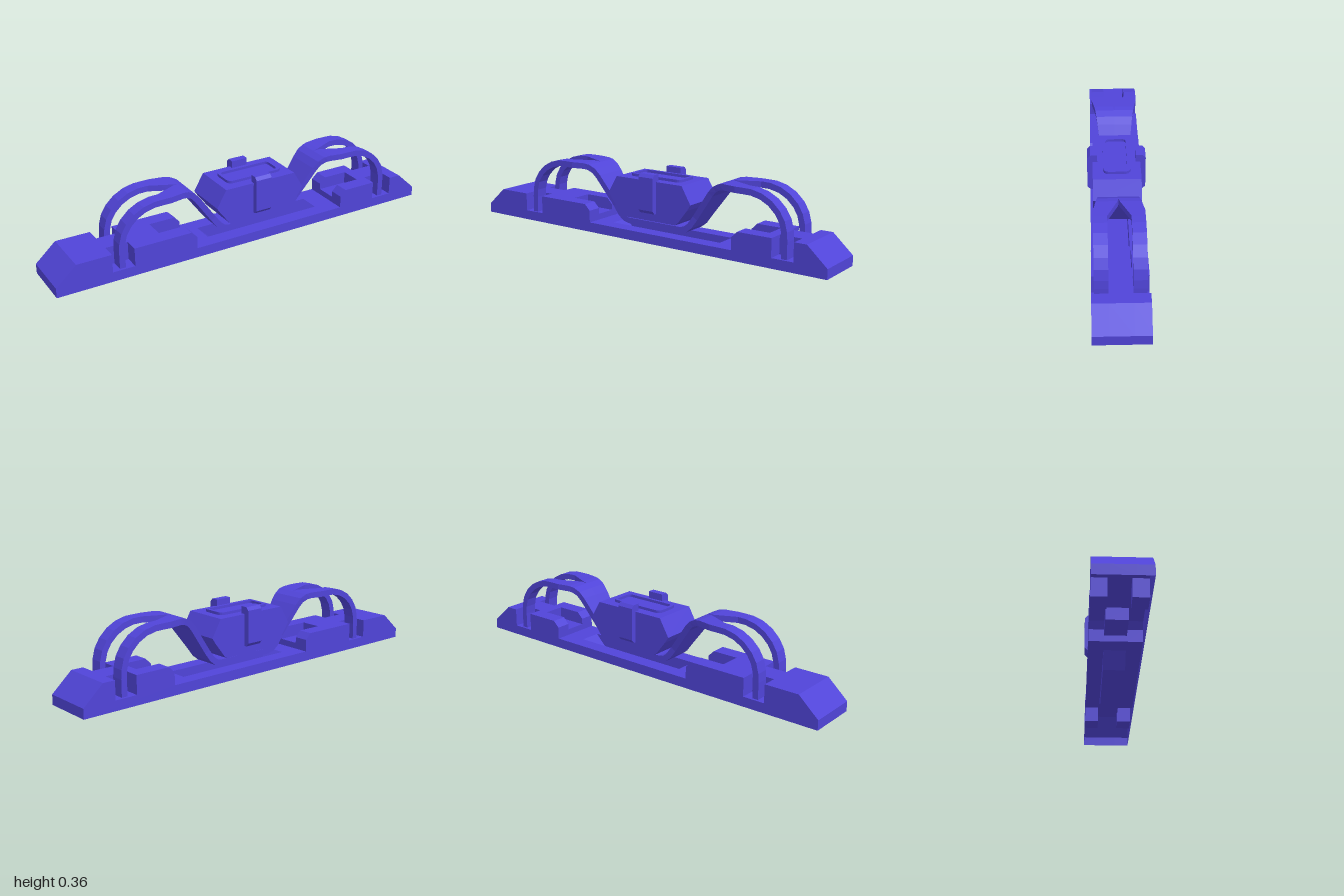
import * as THREE from 'three';

const COLOR = 0x5044d8;
const solid = new THREE.MeshStandardMaterial({ color: COLOR, flatShading: true });
const thin = new THREE.MeshStandardMaterial({ color: COLOR, flatShading: true, side: THREE.DoubleSide });
const C = 0.055; // centre line of spring and pod
const W = 0.125; // half width of the base
const S = 0.052; // half width of the centre band

function add(parent, name, geometry, material = solid) {
  const mesh = new THREE.Mesh(geometry, material);
  mesh.name = name;
  parent.add(mesh);
  return mesh;
}

const shapeOf = (pts) => new THREE.Shape(pts.map(([x, y]) => new THREE.Vector2(x, y)));

// Prism of an xy outline between z0 and z1
function prism(shape, z0, z1) {
  const g = new THREE.ExtrudeGeometry(shape, { depth: z1 - z0, bevelEnabled: false, curveSegments: 5 });
  return g.translate(0, 0, z0);
}

// Thin sheet following an xy polyline between z0 and z1
function sheet(pts, z0, z1) {
  const pos = [];
  for (let i = 0; i < pts.length - 1; i++) {
    const [a, b] = [pts[i], pts[i + 1]];
    pos.push(...a, z1, ...b, z1, ...b, z0, ...a, z1, ...b, z0, ...a, z0);
  }
  const g = new THREE.BufferGeometry();
  g.setAttribute('position', new THREE.Float32BufferAttribute(pos, 3));
  g.computeVertexNormals();
  return g;
}

function buildBase() {
  const base = new THREE.Group();
  base.name = 'base';
  const notches = [[-0.73, -0.62], [0.73, 0.84]];
  const recesses = [[-0.46, -0.3], [0.525, 0.68]];
  const floor = 0.1;
  const dish = [[-0.205, 0.07], [-0.16, 0.025], [-0.135, 0], [0.35, 0], [0.375, 0.025], [0.42, 0.07]];
  const notch = ([a, b]) => [[a, 0.16], [a, 0.07], [b, 0.07], [b, 0.16]];
  const leftEnd = [[-1, 0.022], [-1, 0.07], [-0.9, 0.16]];
  const rightEnd = [[0.9, 0.16], [1, 0.07], [1, 0.022]];

  // Side bands carry the foot notches, the middle band the recesses and dish
  const sideProfile = [
    ...leftEnd, ...notch(notches[0]),
    [-0.33, 0.16], [-0.3, 0.13], [-0.3, 0.07], [0.525, 0.07], [0.525, 0.13], [0.555, 0.16],
    ...notch(notches[1]), ...rightEnd,
  ];
  const middleProfile = [
    ...leftEnd, [-0.46, 0.16], [-0.46, floor], [-0.3, floor], [-0.3, 0.07],
    ...dish, [0.525, 0.07], [0.525, floor], [0.68, floor], [0.68, 0.16], ...rightEnd,
  ];
  add(base, 'middleSkin', sheet(middleProfile, -S, S), thin);
  for (const s of [-1, 1]) {
    add(base, 'sideSkin', sheet(sideProfile, Math.min(s * S, s * W), Math.max(s * S, s * W)), thin);
    const wall = (name, pts, z) =>
      add(base, name, new THREE.ShapeGeometry(shapeOf(pts)).translate(0, 0, s * z), thin);
    wall('sideWall', sideProfile, W);
    notches.forEach((n) => wall('notchWall', notch(n), S));
    recesses.forEach(([a, b], i) => wall('recessWall', i
      ? [[a, floor], [b, floor], [b, 0.16], [a + 0.03, 0.16], [a, 0.13]]
      : [[a, floor], [b, floor], [b, 0.13], [b - 0.03, 0.16], [a, 0.16]], S));
    wall('dishWall', dish, S);
  }
  return base;
}

// Linear interpolation with clamped ends
const ramp = (x, x0, x1, y0, y1) => y0 + (y1 - y0) * Math.min(1, Math.max(0, (x - x0) / (x1 - x0)));

// Bent spring strip whose ends split into two tines
function buildSpring() {
  const spring = new THREE.Group();
  spring.name = 'spring';
  const half = [
    [0.15, 0.1], [0.18, 0.107], [0.205, 0.127], [0.235, 0.168], [0.33, 0.3], [0.355, 0.327],
    [0.385, 0.342], [0.41, 0.346], [0.475, 0.346], [0.515, 0.346], [0.56, 0.345], [0.61, 0.333],
    [0.655, 0.309], [0.692, 0.274], [0.716, 0.235], [0.728, 0.19], [0.731, 0.15], [0.731, 0.07],
  ];
  const path = [...half.map(([x, y]) => [-x, y]).reverse(), ...half];
  const t = 0.0145; // half thickness
  for (const s of [-1, 1]) {
    const rings = path.map(([x, y], i) => {
      const p = path[Math.max(0, i - 1)];
      const n = path[Math.min(path.length - 1, i + 1)];
      const len = Math.hypot(n[0] - p[0], n[1] - p[1]);
      const nx = -(n[1] - p[1]) / len * t;
      const ny = (n[0] - p[0]) / len * t;
      const d = Math.abs(x);
      const inner = s * ramp(d, 0.4, 0.515, 0, S);
      const outer = s * ramp(d, 0.235, 0.475, 0.067, 0.113);
      const [z0, z1] = [Math.min(inner, outer), Math.max(inner, outer)];
      return [
        [x + C + nx, y + ny, z0], [x + C + nx, y + ny, z1],
        [x + C - nx, y - ny, z1], [x + C - nx, y - ny, z0],
      ];
    });
    const pos = [];
    const quad = (a, b, c, d) => pos.push(...a, ...b, ...c, ...a, ...c, ...d);
    for (let i = 0; i < rings.length - 1; i++) {
      for (let k = 0; k < 4; k++) {
        const m = (k + 1) % 4;
        quad(rings[i][k], rings[i][m], rings[i + 1][m], rings[i + 1][k]);
      }
    }
    quad(...[...rings[0]].reverse());
    quad(...rings[rings.length - 1]);
    const g = new THREE.BufferGeometry();
    g.setAttribute('position', new THREE.Float32BufferAttribute(pos, 3));
    g.computeVertexNormals();
    add(spring, s > 0 ? 'frontTines' : 'backTines', g, thin);
  }
  return spring;
}

function roundedRect(shape, w, h, r) {
  shape.moveTo(-w + r, -h).lineTo(w - r, -h).quadraticCurveTo(w, -h, w, -h + r)
    .lineTo(w, h - r).quadraticCurveTo(w, h, w - r, h)
    .lineTo(-w + r, h).quadraticCurveTo(-w, h, -w, h - r)
    .lineTo(-w, -h + r).quadraticCurveTo(-w, -h, -w + r, -h);
  return shape;
}

function buildPod() {
  const pod = new THREE.Group();
  pod.name = 'pod';
  const outline = [[-0.185, 0.24], [-0.165, 0.21], [-0.115, 0.145], [-0.1, 0.132], [0.21, 0.132],
    [0.225, 0.145], [0.275, 0.21], [0.295, 0.24], [0.245, 0.325], [-0.135, 0.325]];
  add(pod, 'podBody', prism(shapeOf(outline), -0.112, 0.112));

  // Raised rim on the top face
  const rim = roundedRect(new THREE.Shape(), 0.148, 0.063, 0.03);
  rim.holes.push(roundedRect(new THREE.Path(), 0.133, 0.048, 0.02));
  const rimMesh = add(pod, 'topRim', prism(rim, 0, 0.015));
  rimMesh.rotation.x = -Math.PI / 2;
  rimMesh.position.set(C, 0.323, 0);

  // Chamfered clips on the front and back
  const clip = shapeOf([[0.09, 0.17], [0.124, 0.17], [0.138, 0.186], [0.138, 0.345], [0.124, 0.36], [0.09, 0.36]]);
  for (const s of [-1, 1]) {
    const mesh = add(pod, s > 0 ? 'frontClip' : 'backClip', prism(clip, -0.042, 0.042));
    mesh.rotation.y = -s * Math.PI / 2;
    mesh.position.x = C + 0.002;
  }
  return pod;
}

export function createModel() {
  const model = new THREE.Group();
  model.name = 'clipAssembly';
  model.add(buildBase(), buildSpring(), buildPod());
  return model;
}
